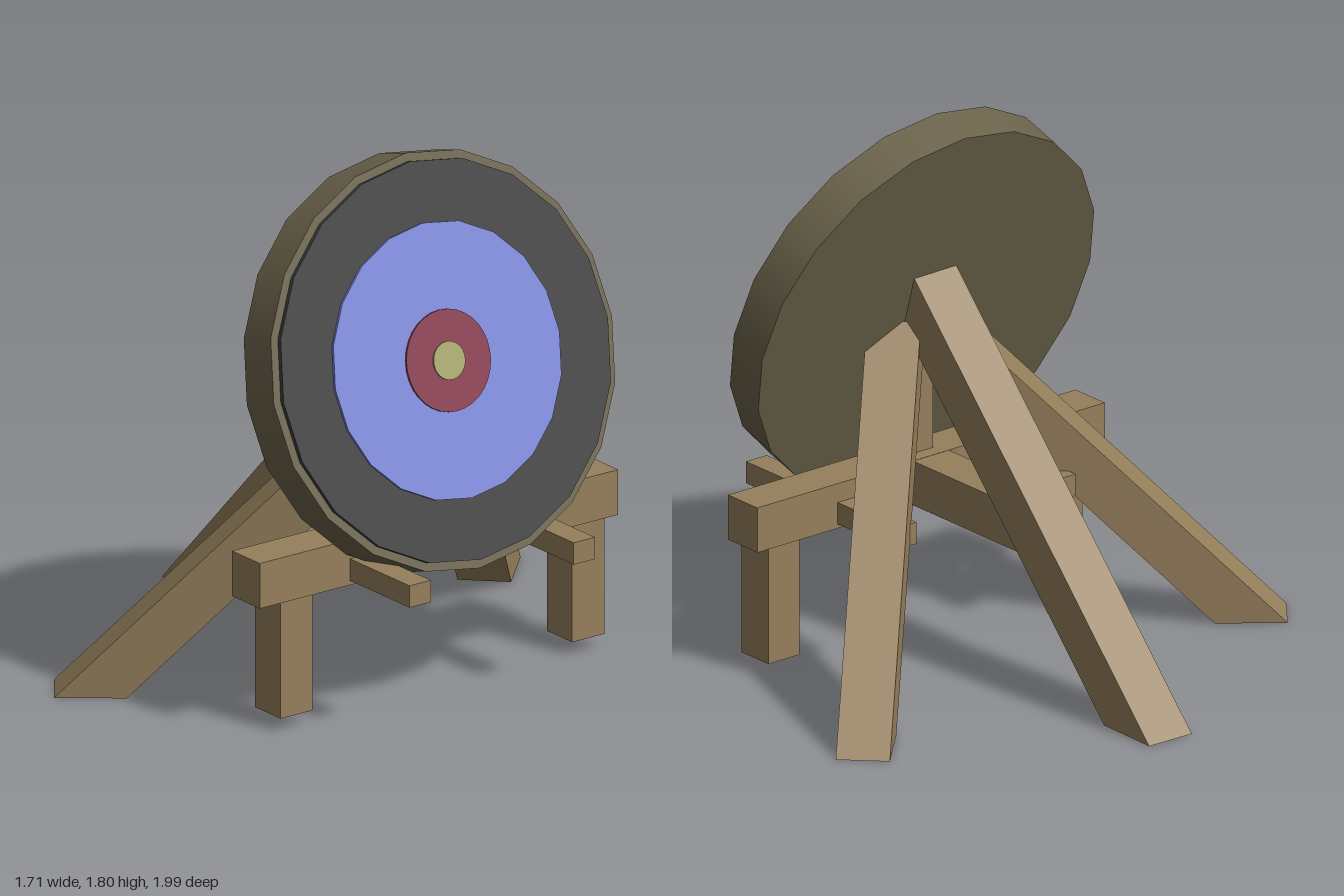
import * as THREE from 'three';

const mat = (color) => new THREE.MeshStandardMaterial({ color });

export function createModel() {
  const model = new THREE.Group();
  const wood = mat(0x96805c);

  const add = (name, geometry, material, parent = model) => {
    const mesh = new THREE.Mesh(geometry, material);
    mesh.name = name;
    parent.add(mesh);
    return mesh;
  };

  // Straight timber given by its extents on each axis
  const timber = (name, [x0, x1], [y0, y1], [z0, z1]) =>
    add(name, new THREE.BoxGeometry(x1 - x0, y1 - y0, z1 - z0), wood)
      .position.set((x0 + x1) / 2, (y0 + y1) / 2, (z0 + z1) / 2);

  // Leaning timber: cut level at the ground, square at its upper end.
  // heading = horizontal lean direction, run = horizontal travel per unit height
  const leaningLeg = (name, x, z, heading, run, topY) => {
    const width = 0.175, depth = 0.235;
    const u = new THREE.Vector2(...heading).normalize();
    const geometry = new THREE.BoxGeometry(1, 1, 1);
    const p = geometry.attributes.position;
    for (let i = 0; i < p.count; i++) {
      const a = p.getX(i) * width, b = p.getZ(i) * depth;
      const top = b < 0 ? topY : topY - depth * run / (1 + run * run);
      const y = p.getY(i) > 0 ? top : 0;
      const along = b + run * y;
      p.setXYZ(i, x + u.x * along + u.y * a, y, z + u.y * along - u.x * a);
    }
    const flat = geometry.toNonIndexed();
    flat.computeVertexNormals();
    add(name, flat, wood);
  };

  // Three props behind the target
  leaningLeg('backLeg', -0.742, -0.053, [1, 0.02], 0.984, 1.26);
  leaningLeg('leftRearLeg', -0.165, 0.85, [0.61, -0.79], 1.01, 1.04);
  leaningLeg('rightRearLeg', -0.285, -0.853, [0.71, 0.7], 1.04, 1.08);

  // Frame under the target
  timber('crossBeam', [0.385, 0.533], [0.445, 0.6], [-0.755, 0.695]);
  timber('centreBeam', [-0.25, 0.4], [0.446, 0.599], [-0.105, 0.045]);
  timber('centrePost', [0.435, 0.5], [0.58, 1.0], [-0.08, 0.02]);
  for (const side of [-1, 1]) {
    const z = -0.045 + side * 0.332, zPost = -0.05 + side * 0.59;
    timber('supportArm', [0.09, 0.85], [0.46, 0.535], [z - 0.043, z + 0.043]);
    timber('frontPost', [0.39, 0.525], [0.045, 0.46], [zPost - 0.065, zPost + 0.065]);
  }

  // Tilted round target, origin at the middle of its front face
  const target = new THREE.Group();
  target.name = 'target';
  target.position.set(0.55, 1.14, -0.033);
  target.rotation.z = THREE.MathUtils.degToRad(-73.3);
  model.add(target);

  // name, radius, bottom, top, sides, color
  const discs = [
    ['targetBody', 0.684, -0.15, 0, 20, 0x6b634b],
    ['outerRing', 0.656, -0.01, 0.016, 20, 0x3d3d3d],
    ['middleRing', 0.453, 0, 0.025, 20, 0x7c88da],
    ['innerRing', 0.167, 0, 0.032, 32, 0x86384c],
    ['bullseye', 0.063, 0, 0.037, 20, 0xa6a66a],
  ];
  for (const [name, radius, bottom, top, sides, color] of discs) {
    add(name, new THREE.CylinderGeometry(radius, radius, top - bottom, sides), mat(color), target)
      .position.y = (top + bottom) / 2;
  }

  return model;
}
